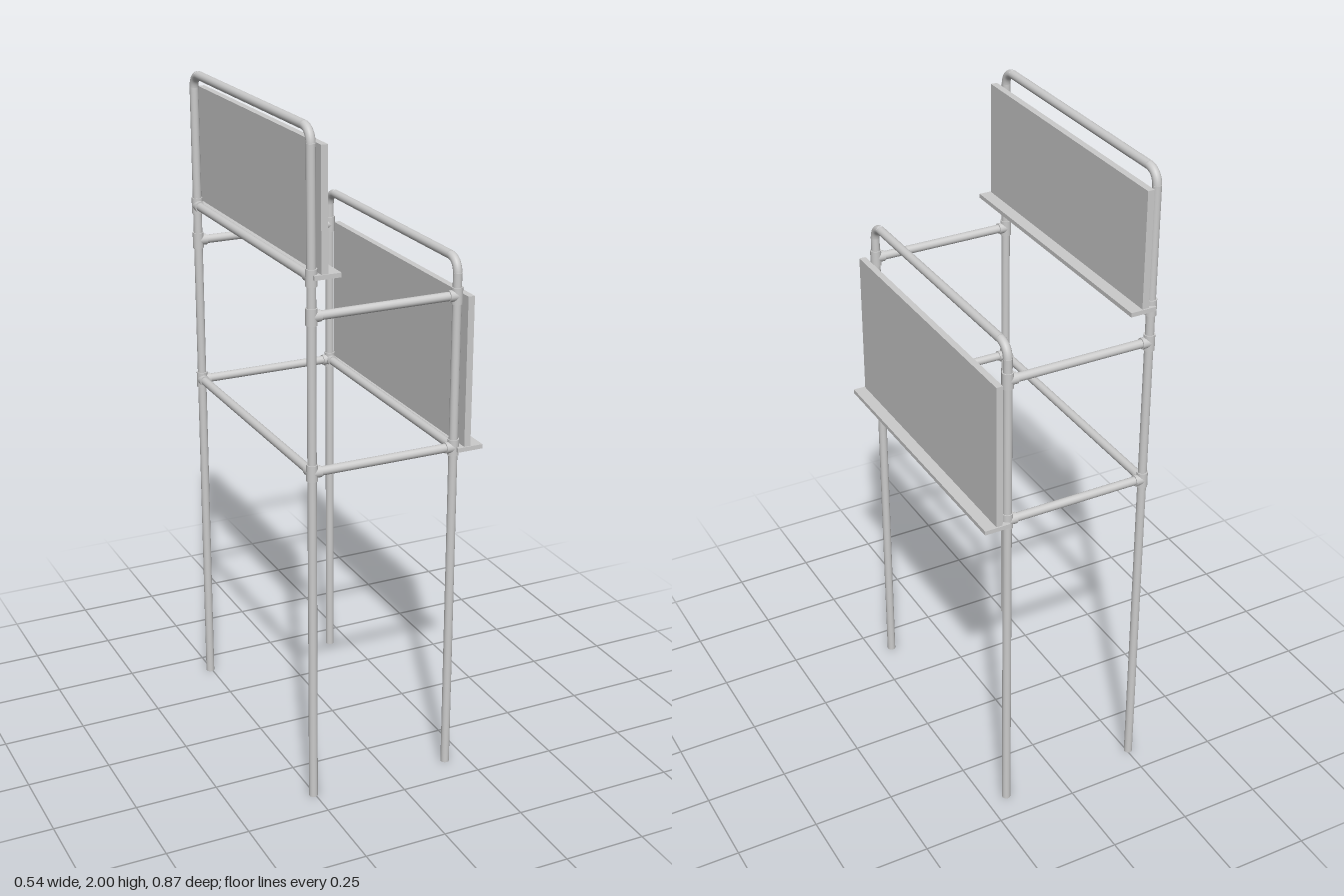
import * as THREE from 'three';

const R = 0.013;             // pipe radius
const ZB = -0.413, ZF = 0.409; // back and front posts
const XT = -0.255, XL = 0.185; // tall and low frames
const mat = new THREE.MeshStandardMaterial({ color: 0xcccccc });

export function createModel() {
  const group = new THREE.Group();

  const add = (name, geometry, x = 0, y = 0, z = 0) => {
    const mesh = new THREE.Mesh(geometry, mat);
    mesh.name = name;
    mesh.position.set(x, y, z);
    group.add(mesh);
    return mesh;
  };

  // Straight pipe between two points
  const pipe = (name, a, b, r = R) => {
    const from = new THREE.Vector3(...a), to = new THREE.Vector3(...b);
    const dir = to.clone().sub(from);
    const mesh = add(name, new THREE.CylinderGeometry(r, r, dir.length(), 16));
    mesh.position.copy(from).add(to).multiplyScalar(0.5);
    mesh.quaternion.setFromUnitVectors(new THREE.Vector3(0, 1, 0), dir.normalize());
  };

  // Hoop: two legs joined over the top by rounded corners
  const hoop = (name, x, height) => {
    const top = height - R, bend = 0.04;
    for (const [z, s] of [[ZB, 1], [ZF, -1]]) {
      pipe(name + 'Leg', [x, 0, z], [x, top - bend, z]);
      const corner = new THREE.QuadraticBezierCurve3(
        new THREE.Vector3(x, top - bend, z),
        new THREE.Vector3(x, top - 0.004, z + s * 0.004),
        new THREE.Vector3(x, top, z + s * bend));
      add(name + 'Bend', new THREE.TubeGeometry(corner, 10, R, 16));
    }
    pipe(name + 'TopRail', [x, top, ZB + bend], [x, top, ZF - bend]);
  };
  hoop('tallHoop', XT, 2);
  hoop('lowHoop', XL, 1.6);

  // Sleeve fitting on a post with a stub towards each joining rail
  const fitting = (x, y, z, sx, sz) => {
    pipe('fittingSleeve', [x, y - 0.024, z], [x, y + 0.024, z], 0.0165);
    if (sx) pipe('fittingStub', [x, y, z], [x + sx * 0.026, y, z], 0.0165);
    if (sz) pipe('fittingStub', [x, y, z], [x, y, z + sz * 0.026], 0.0165);
  };

  // Cross rails and their fittings at both ends of the stand
  for (const [z, s] of [[ZB, 1], [ZF, -1]]) {
    for (const y of [1.033, 1.482]) {
      pipe('crossRail', [XT, y, z], [XL, y, z]);
      const long = y < 1.2 ? s : 0;
      fitting(XT, y, z, 1, long);
      fitting(XL, y, z, -1, long);
    }
    fitting(XT, 1.59, z, 0, s);
  }

  // Long rails below the panels
  for (const [x, y] of [[XT, 1.033], [XL, 1.033], [XT, 1.59]])
    pipe('longRail', [x, y, ZB], [x, y, ZF]);

  // Display panels standing on narrow ledges
  const display = (name, x0, y0, top) => {
    add(name + 'Ledge', new THREE.BoxGeometry(0.079, 0.013, 0.87), x0 + 0.0395, y0 + 0.0065, -0.002);
    add(name + 'Panel', new THREE.BoxGeometry(0.02, top - y0 - 0.013, 0.862),
      x0 + 0.032, (top + y0 + 0.013) / 2, -0.002);
  };
  display('upper', -0.257, 1.587, 1.945);
  display('lower', 0.188, 1.022, 1.48);

  return group;
}
